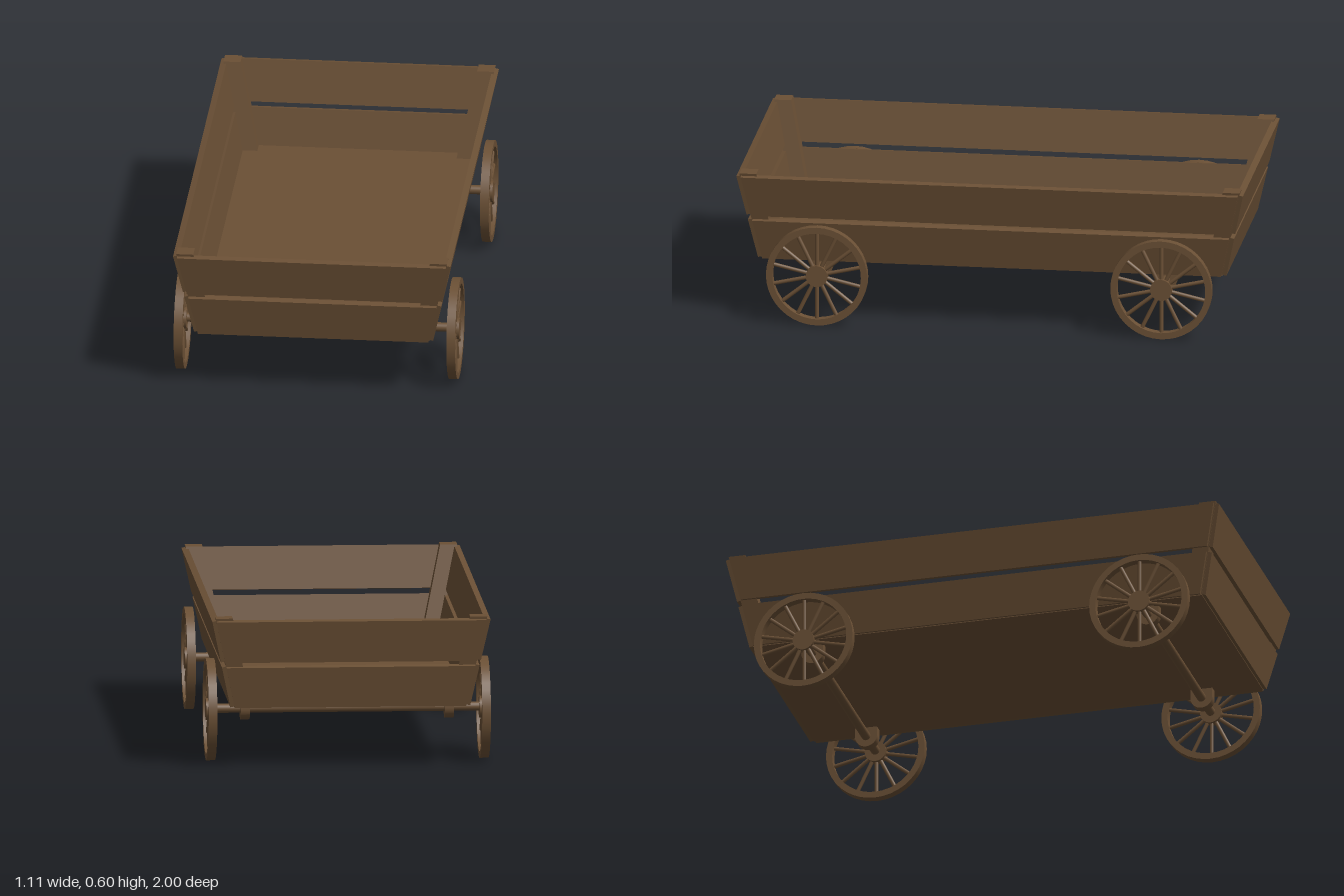
import * as THREE from 'three';

const wood = new THREE.MeshStandardMaterial({ color: 0x6b5035, roughness: 0.9 });
const TILT = 0.212;              // outward lean of the walls, radians
const SLOPE = Math.tan(TILT);
const BASE = 0.24;               // height of the wagon bed
const HALF_X = 0.47, HALF_Z = 0.925; // outer half sizes of the body at BASE
const AXLE_Y = 0.203, AXLE_Z = 0.68;

function add(parent, geometry, name, x = 0, y = 0, z = 0) {
  const mesh = new THREE.Mesh(geometry, wood);
  mesh.name = name;
  mesh.position.set(x, y, z);
  parent.add(mesh);
  return mesh;
}

const lean = (y) => SLOPE * (y - BASE);

// Leaning trapezoid plank facing +z; its outer bottom edge is at z = out + lean(y0)
function plankGeometry(y0, y1, half, out) {
  const a = half + lean(y0), b = half + lean(y1);
  const h = (y1 - y0) / Math.cos(TILT), t = 0.025;
  const shape = new THREE.Shape();
  shape.moveTo(-a, 0);
  shape.lineTo(a, 0);
  shape.lineTo(b, h);
  shape.lineTo(-b, h);
  shape.closePath();
  const g = new THREE.ExtrudeGeometry(shape, { depth: t, bevelEnabled: false });
  g.translate(0, 0, -t);
  g.rotateX(TILT);
  g.translate(0, y0, out + lean(y0));
  return g;
}

// Corner post: upright box sheared outwards in x and z
function postGeometry(sx, sz) {
  const y1 = 0.603, s = 0.067;
  const g = new THREE.BoxGeometry(s, y1 - BASE, s);
  g.translate(sx * 0.4205, (y1 + BASE) / 2, sz * 0.876);
  const p = g.attributes.position;
  for (let i = 0; i < p.count; i++) {
    const d = lean(p.getY(i));
    p.setX(i, p.getX(i) + sx * d);
    p.setZ(i, p.getZ(i) + sz * d);
  }
  g.computeVertexNormals();
  return g;
}

// Spoked wheel centred on the origin, turning about x
function makeWheel() {
  const wheel = new THREE.Group();
  wheel.name = 'wheel';
  const w = 0.017;
  const rimProfile = [
    [0.175, -w], [0.2, -w], [0.2, -w], [0.2, w], [0.2, w], [0.175, w], [0.175, w], [0.175, -w],
  ].map(([r, y]) => new THREE.Vector2(r, y));
  add(wheel, new THREE.LatheGeometry(rimProfile, 40).rotateZ(Math.PI / 2), 'rim');
  add(wheel, new THREE.CylinderGeometry(0.043, 0.043, 2 * w, 24).rotateZ(Math.PI / 2), 'hub');
  const spokes = 14;
  for (let i = 0; i < spokes; i++) {
    const g = new THREE.CylinderGeometry(0.008, 0.008, 0.145, 8);
    g.translate(0, 0.107, 0);
    g.rotateX((i / spokes) * Math.PI * 2);
    add(wheel, g, 'spoke');
  }
  return wheel;
}

// Block that carries the axle: round below, square where it meets the bed
function bearingGeometry() {
  const r = 0.044, w = 0.036, top = BASE + 0.005 - AXLE_Y;
  const shape = new THREE.Shape();
  shape.moveTo(r, top);
  shape.lineTo(-r, top);
  shape.lineTo(-r, 0);
  shape.absarc(0, 0, r, Math.PI, Math.PI * 2, false);
  shape.closePath();
  const g = new THREE.ExtrudeGeometry(shape, { depth: w, bevelEnabled: false, curveSegments: 16 });
  return g.translate(0, 0, -w / 2).rotateY(Math.PI / 2);
}

export function createModel() {
  const wagon = new THREE.Group();
  wagon.name = 'wagon';

  // Bed
  add(wagon, new THREE.BoxGeometry(0.91, 0.02, 1.82), 'floor', 0, BASE + 0.01, 0);

  // Two rows of planks on all four sides
  for (const [y0, y1, row] of [[0.24, 0.403, 'lower'], [0.424, 0.59, 'upper']]) {
    for (const turn of [0, 1]) {
      const end = add(wagon, plankGeometry(y0, y1, HALF_X - 0.017, HALF_Z), row + 'EndPlank');
      end.rotation.y = turn * Math.PI;
      const side = add(wagon, plankGeometry(y0, y1, HALF_Z - 0.019, HALF_X), row + 'SidePlank');
      side.rotation.y = Math.PI / 2 + turn * Math.PI;
    }
  }

  // Corner posts, axles, bearings and wheels
  for (const sz of [1, -1]) {
    const axle = new THREE.CylinderGeometry(0.018, 0.018, 1.04, 20).rotateZ(Math.PI / 2);
    add(wagon, axle, 'axle', 0, AXLE_Y, sz * AXLE_Z);
    for (const sx of [1, -1]) {
      add(wagon, postGeometry(sx, sz), 'cornerPost');
      add(wagon, bearingGeometry(), 'axleBearing', sx * 0.4, AXLE_Y, sz * AXLE_Z);
      const wheel = makeWheel();
      wheel.position.set(sx * 0.536, 0.2, sz * AXLE_Z);
      wagon.add(wheel);
    }
  }
  return wagon;
}
